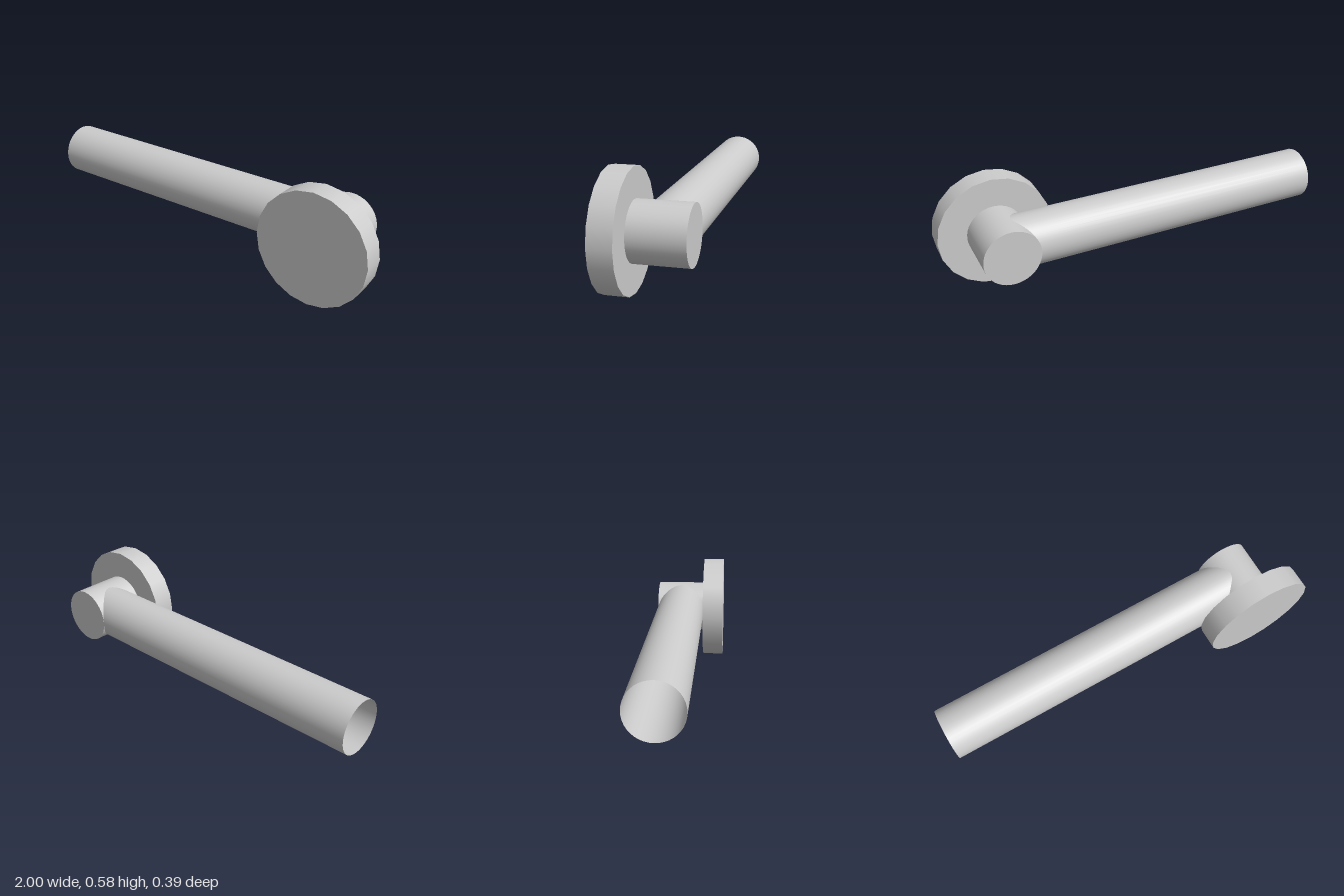
import * as THREE from 'three';

const ROSE_X = 0.71, AXIS_Y = 0.29;

export function createModel() {
  const group = new THREE.Group();
  const solid = new THREE.MeshStandardMaterial({ color: 0xcccccc });
  const thin = new THREE.MeshStandardMaterial({ color: 0xcccccc, side: THREE.DoubleSide });

  function add(name, geometry, material, x, y, z) {
    const mesh = new THREE.Mesh(geometry, material);
    mesh.name = name;
    mesh.position.set(x, y, z);
    group.add(mesh);
  }

  // Closed cylinder along z between two depths
  function disc(name, radius, z0, z1, sides) {
    const geometry = new THREE.CylinderGeometry(radius, radius, z1 - z0, sides).rotateX(Math.PI / 2);
    add(name, geometry, solid, ROSE_X, AXIS_Y, (z0 + z1) / 2);
  }

  // Round mounting plate and the neck behind it
  disc('rose', 0.29, 0.077, 0.193, 20);
  disc('neck', 0.144, -0.193, 0.077, 40);

  // Open-ended tubular lever running from the neck axis to the free end
  const length = ROSE_X + 1;
  const tube = new THREE.CylinderGeometry(0.135, 0.135, length, 40, 1, true).rotateZ(Math.PI / 2);
  add('lever', tube, thin, ROSE_X - length / 2, 0.293, -0.058);

  return group;
}
